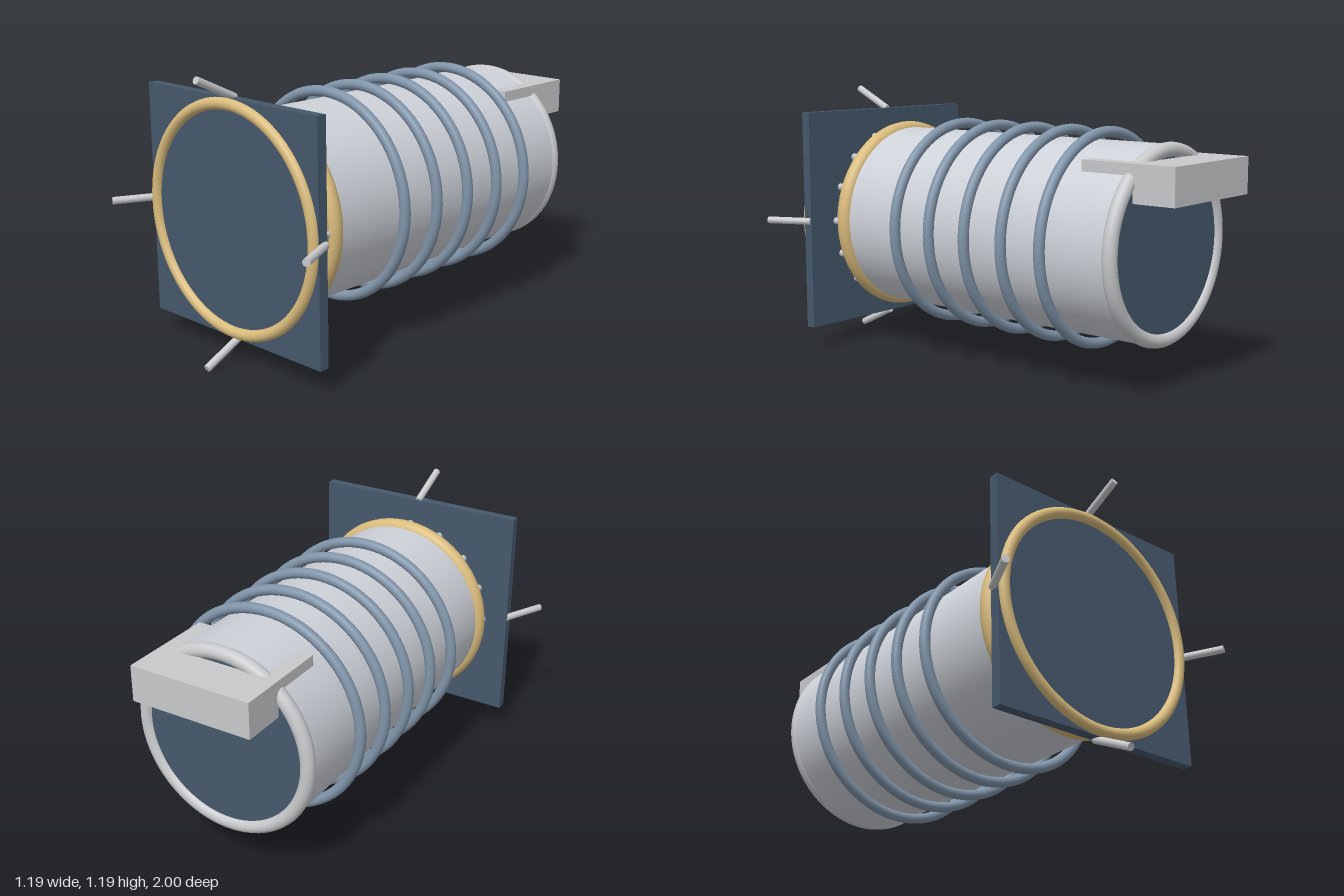
import * as THREE from 'three';

const AXIS_Y = 0.6; // height of the tube's centre line

export function createModel() {
  const model = new THREE.Group();
  model.name = 'ringedTube';

  const mat = (name, color) => {
    const m = new THREE.MeshStandardMaterial({ color });
    m.name = name;
    return m;
  };
  const shell = mat('paleGrey', 0xcdd1d8);
  const metal = mat('silver', 0xc8c9cb);
  const steel = mat('steelBlue', 0x8094a9);
  const navy = mat('slateBlue', 0x46586c);
  const gold = mat('gold', 0xd9bb7c);

  const add = (name, geometry, material, x = 0, y = 0, z = 0) => {
    const mesh = new THREE.Mesh(geometry, material);
    mesh.name = name;
    mesh.position.set(x, y, z);
    model.add(mesh);
    return mesh;
  };
  const ring = (name, major, minor, z, material) =>
    add(name, new THREE.TorusGeometry(major, minor, 16, 80), material, 0, AXIS_Y, z);
  // Cylinder lying along z
  const drum = (name, radius, z0, z1, material, open = false) => {
    const g = new THREE.CylinderGeometry(radius, radius, z1 - z0, 64, 1, open);
    return add(name, g.rotateX(Math.PI / 2), material, 0, AXIS_Y, (z0 + z1) / 2);
  };

  // Main tube with its dark rear plate and rolled rear rim
  drum('tube', 0.41, -0.8, 0.67, shell, true);
  drum('rearPlate', 0.405, -0.8, -0.79, navy);
  ring('rearRim', 0.388, 0.031, -0.788, metal);

  // Five hoops standing just clear of the tube
  for (let i = 0; i < 5; i++) ring('hoop', 0.445, 0.023, 0.31 - i * 0.2, steel);

  // Gold front collar and its bolts
  ring('frontCollar', 0.4, 0.037, 0.672, gold);
  drum('frontFlange', 0.41, 0.66, 0.718, gold);
  const boltGeometry = new THREE.CylinderGeometry(0.016, 0.016, 0.03, 12).rotateX(Math.PI / 2);
  for (let i = 0; i < 16; i++) {
    const a = (i * Math.PI) / 8;
    add('bolt', boltGeometry, metal, 0.402 * Math.cos(a), AXIS_Y + 0.402 * Math.sin(a), 0.721);
  }

  // Square front panel with a gold ring
  add('frontPanel', new THREE.BoxGeometry(0.99, 0.99, 0.044), navy, 0, AXIS_Y, 0.822);
  ring('panelRing', 0.47, 0.025, 0.843, gold);

  // Four splayed rods at the middle of the panel's edges
  const start = new THREE.Vector3(0, 0.493, 0.807);
  const end = new THREE.Vector3(0, 0.583, 0.993);
  const dir = end.clone().sub(start);
  const rodGeometry = new THREE.CylinderGeometry(0.016, 0.016, dir.length(), 16);
  rodGeometry.applyQuaternion(
    new THREE.Quaternion().setFromUnitVectors(new THREE.Vector3(0, 1, 0), dir.clone().normalize())
  );
  const mid = start.clone().add(end).multiplyScalar(0.5);
  rodGeometry.translate(mid.x, mid.y, mid.z);
  for (let i = 0; i < 4; i++) add('rod', rodGeometry, metal, 0, AXIS_Y).rotation.z = (i * Math.PI) / 2;

  // Rear block carried by two arms set into the tube
  add('rearBlock', new THREE.BoxGeometry(0.545, 0.155, 0.19), metal, 0, 0.8775, -0.905);
  for (const side of [-1, 1])
    add('rearArm', new THREE.BoxGeometry(0.07, 0.047, 0.27), metal, side * 0.2375, 0.9315, -0.7);

  return model;
}
